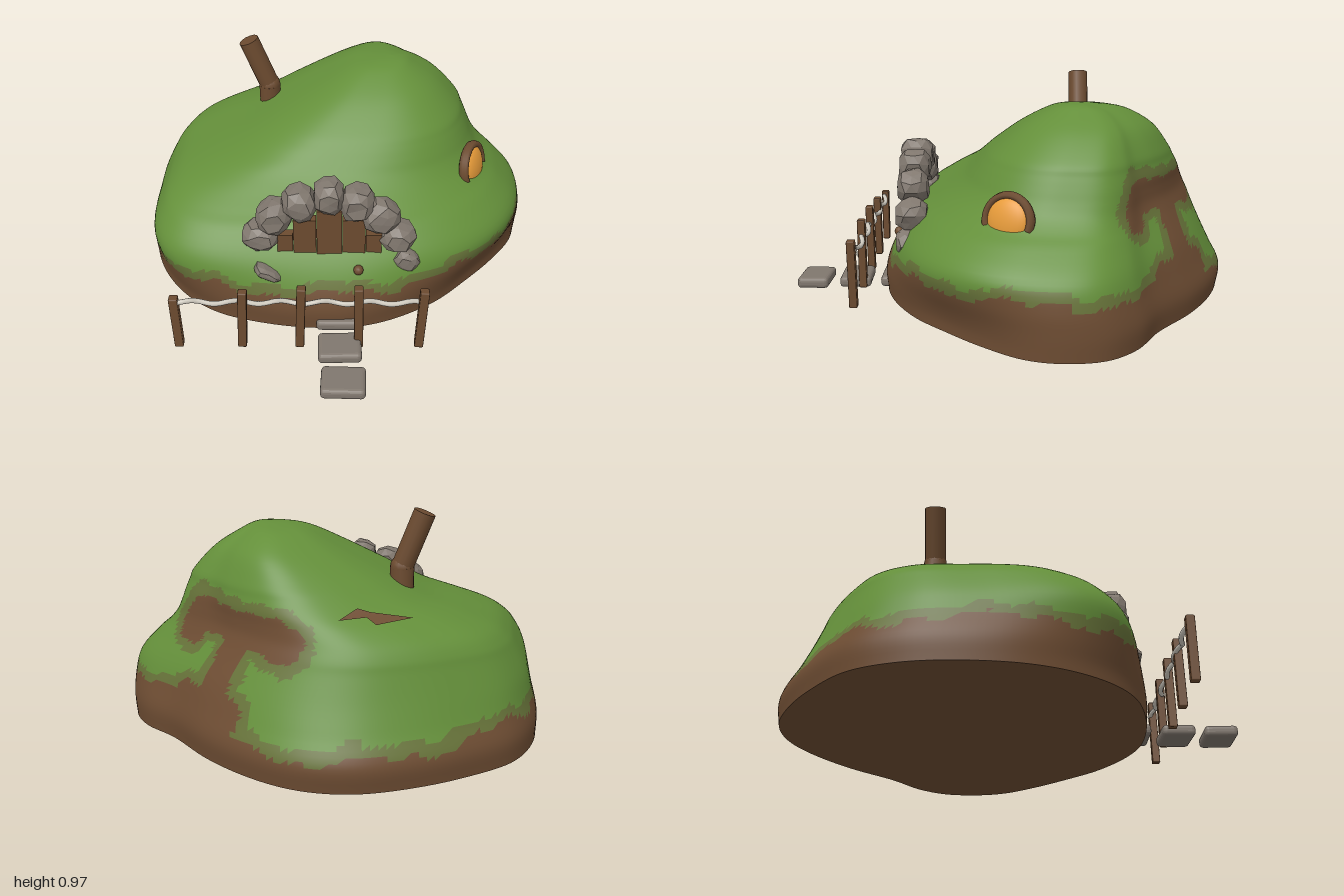
import * as THREE from 'three';
import { RoundedBoxGeometry } from 'three/addons/geometries/RoundedBoxGeometry.js';

const mat = (name, color) => Object.assign(new THREE.MeshStandardMaterial({ color }), { name });
const V = (x, y, z) => new THREE.Vector3(x, y, z);
const { lerp, smoothstep } = THREE.MathUtils;

// repeatable noise in -1..1 from a position
function noise(x, y, z) {
  const s = Math.sin(x * 127.1 + y * 311.7 + z * 74.7) * 43758.5453;
  return (s - Math.floor(s)) * 2 - 1;
}

// ground outline of the hill (x, z), clockwise from the back
const OUTLINE = [[-0.12, -1], [0.02, -0.985], [0.2, -0.915], [0.4, -0.79], [0.61, -0.61], [0.78, -0.5],
  [0.88, -0.37], [0.905, -0.2], [0.87, -0.05], [0.75, 0.12], [0.61, 0.27], [0.45, 0.42], [0.25, 0.535],
  [0.08, 0.585], [-0.1, 0.59], [-0.3, 0.565], [-0.52, 0.5], [-0.67, 0.4], [-0.8, 0.24], [-0.88, 0.05],
  [-0.91, -0.2], [-0.89, -0.4], [-0.81, -0.59], [-0.63, -0.765], [-0.45, -0.89], [-0.27, -0.975]];

// extents of the hill by height: y, xMin, xMax, zMin, zMax
const LEVELS = [[0, -0.91, 0.9, -0.99, 0.58], [0.1, -0.91, 0.905, -1, 0.585], [0.2, -0.885, 0.9, -0.95, 0.555],
  [0.3, -0.86, 0.87, -0.9, 0.5], [0.4, -0.81, 0.775, -0.855, 0.415], [0.45, -0.775, 0.715, -0.835, 0.345],
  [0.5, -0.715, 0.67, -0.81, 0.275], [0.55, -0.6, 0.642, -0.785, 0.215], [0.6, -0.46, 0.62, -0.76, 0.17],
  [0.65, -0.36, 0.597, -0.73, 0.128], [0.7, -0.27, 0.57, -0.7, 0.08], [0.8, -0.08, 0.47, -0.62, -0.04],
  [0.87, 0.06, 0.36, -0.5, -0.16], [0.893, 0.16, 0.31, -0.38, -0.23], [0.9, 0.25, 0.251, -0.3, -0.299]];

// bare earth running down the back right side
const TRACKS = [[V(0.47, 0.54, -0.49), V(0.06, 0.5, -0.79)], [V(0.28, 0.5, -0.67), V(0.42, 0.18, -0.76)],
  [V(0.47, 0.54, -0.49), V(0.52, 0.46, -0.49)], [V(0.3, 0.2, -0.83), V(0.54, 0.2, -0.65)]]
  .map(([a, b]) => new THREE.Line3(a, b));

// 0 grass, 1 mossy edge, 2 earth
function groundKind(p) {
  const a = Math.atan2(p.z + 0.2, p.x), c = Math.cos(a), s = Math.sin(a);
  let d = p.y - (0.15 + 0.02 * c + 0.03 * s + 0.055 * c * c + 0.015 * Math.sin(a * 9) + 0.01 * Math.sin(a * 23 + 1));
  for (const t of TRACKS) d = Math.min(d, t.closestPointToPoint(p, true, V(0, 0, 0)).distanceTo(p) - 0.078);
  d += 0.012 * Math.sin(p.x * 31 + p.y * 40) * Math.cos(p.z * 37) + 0.004 * noise(p.x, p.y, p.z);
  return d < 0 ? 2 : d < 0.045 ? 1 : 0;
}

function hillGeometry() {
  const segs = 168, rings = 70;
  const outline = new THREE.CatmullRomCurve3(OUTLINE.map(([x, z]) => V(x, 0, z)), true).getSpacedPoints(segs);
  const xs = new THREE.CatmullRomCurve3(LEVELS.map(l => V(l[0], l[1], l[2])), false, 'catmullrom');
  const zs = new THREE.CatmullRomCurve3(LEVELS.map(l => V(l[0], l[3], l[4])), false, 'catmullrom');
  const pts = [];
  for (let k = 0; k <= rings; k++) {
    const X = xs.getPoint(k / rings), Z = zs.getPoint(k / rings);
    for (let j = 0; j < segs; j++) {
      let u = outline[j].x / 0.907, v = (outline[j].z + 0.205) / 0.795;
      // the front swells fuller above the ground, most of all on its right
      const n = 2.4 + 2.6 * smoothstep(-u, 0, 0.6) * (1 - 0.7 * smoothstep(X.x, 0.4, 0.7));
      const full = (Math.abs(u) ** n + Math.abs(v) ** n) ** (-1 / n);
      const s = lerp(1, full, smoothstep(X.x, 0.03, 0.36) * smoothstep(v, -0.3, 0.3));
      u *= s; v *= s;
      pts.push(V(lerp(X.y, X.z, (u + 1) / 2), X.x, lerp(Z.y, Z.z, (v + 1) / 2)));
    }
  }
  const lists = [[], [], []];
  const face = (a, b, c) => {
    const mid = V(0, 0, 0).add(pts[a]).add(pts[b]).add(pts[c]).divideScalar(3);
    lists[groundKind(mid)].push(a, b, c);
  };
  for (let k = 0; k < rings; k++) for (let j = 0; j < segs; j++) {
    const a = k * segs + j, b = k * segs + (j + 1) % segs;
    face(a, a + segs, b);
    face(b, a + segs, b + segs);
  }
  const g = new THREE.BufferGeometry().setFromPoints(pts);
  g.setIndex(lists.flat());
  let start = 0;
  lists.forEach((l, i) => { g.addGroup(start, l.length, i); start += l.length; });
  g.computeVertexNormals();
  return { g, base: pts.slice(0, segs).map(p => new THREE.Vector2(p.x, p.z)) };
}

// chunky rough stone
function rockGeometry(w, h, d, seed) {
  const g = new THREE.IcosahedronGeometry(1, 1), p = g.attributes.position;
  for (let i = 0; i < p.count; i++) {
    const v = V(0, 0, 0).fromBufferAttribute(p, i);
    const q = v.toArray().map(c => Math.round(c * 50) / 50 + 0);
    const r = (q.reduce((t, c) => t + Math.abs(c) ** 5, 0)) ** -0.2 * (1 + 0.07 * noise(q[0] + seed, q[1], q[2]));
    p.setXYZ(i, q[0] * r * w / 2, q[1] * r * h / 2, q[2] * r * d / 2);
  }
  g.computeVertexNormals();
  return g;
}

export function createModel() {
  const model = new THREE.Group();
  model.name = 'hillHouse';
  const grass = mat('grass', 0x648f3a), moss = mat('mossyEdge', 0x667239), earth = mat('earth', 0x6e4d33);
  const wood = mat('wood', 0x6c4b30), stone = mat('stone', 0x80776e);
  const ropeMat = mat('rope', 0xcfcabf), glow = mat('windowGlow', 0xe89c3a);
  stone.flatShading = true;
  const add = (name, geo, material, x = 0, y = 0, z = 0, parent = model) => {
    const m = new THREE.Mesh(geo, material);
    m.name = name;
    m.position.set(x, y, z);
    parent.add(m);
    return m;
  };

  // hill and its underside
  const { g, base } = hillGeometry();
  const hill = add('hill', g, [grass, moss, earth]);
  add('hillUnderside', new THREE.ShapeGeometry(new THREE.Shape(base)).rotateX(Math.PI / 2), earth, 0, 0.001);

  // bare patch lying on the back left slope
  const patch = new THREE.ShapeGeometry(new THREE.Shape([[-0.41, 0.6], [-0.25, 0.66], [-0.2, 0.67],
    [-0.14, 0.745], [-0.24, 0.69], [-0.28, 0.705]].map(p => new THREE.Vector2(...p)))).rotateX(-Math.PI / 2);
  const pp = patch.attributes.position, down = V(0, -1, 0);
  for (let i = 0; i < pp.count; i++) {
    const hit = new THREE.Raycaster(V(pp.getX(i), 2, pp.getZ(i)), down).intersectObject(hill)[0];
    pp.setY(i, (hit ? hit.point.y : 0.5) + 0.014);
  }
  patch.computeVertexNormals();
  add('barePatch', patch, earth);

  // bent chimney
  const pipe = (name, a, b, r) => {
    const m = add(name, new THREE.CylinderGeometry(r, r, a.distanceTo(b), 14), wood);
    m.position.copy(a).lerp(b, 0.5);
    m.quaternion.setFromUnitVectors(V(0, 1, 0), b.clone().sub(a).normalize());
  };
  const elbow = V(-0.33, 0.725, -0.335);
  pipe('chimneyBase', V(-0.33, 0.5, -0.335), elbow, 0.051);
  pipe('chimneyTop', elbow, V(-0.42, 0.957, -0.335), 0.047);
  add('chimneyElbow', new THREE.SphereGeometry(0.051, 14, 10), wood, ...elbow.toArray());

  // stone arch: x, y, width, height, turn
  [[-0.33, 0.415, 0.15, 0.12, 0.1], [-0.27, 0.515, 0.14, 0.14, 0.6], [-0.16, 0.585, 0.13, 0.145, 0.3],
    [-0.035, 0.62, 0.125, 0.14, 0], [0.08, 0.585, 0.13, 0.145, -0.3], [0.185, 0.515, 0.14, 0.14, -0.7],
    [0.26, 0.41, 0.14, 0.125, -0.4]].forEach(([x, y, w, h, turn], i) => {
    add('archStone', rockGeometry(w, h, 0.14, i + 1), stone, x, y, 0.435).rotation.z = turn;
  });
  add('archFootStone', rockGeometry(0.11, 0.09, 0.08, 9), stone, 0.3, 0.295, 0.46).rotation.z = -0.6;
  add('slopeStone', rockGeometry(0.12, 0.05, 0.08, 12), stone, -0.3, 0.265, 0.51).rotation.z = -0.5;

  // door planks: centre x, width, top
  for (const [x, w, top] of [[-0.225, 0.07, 0.43], [-0.14, 0.1, 0.51], [-0.035, 0.11, 0.56], [0.07, 0.1, 0.51], [0.155, 0.07, 0.43]])
    add('doorPlank', new THREE.BoxGeometry(w - 0.003, top - 0.28, 0.04), wood, x, (top + 0.28) / 2, 0.453 - Math.abs(x + 0.035) * 0.04);
  add('doorKnob', new THREE.SphereGeometry(0.022, 12, 8), wood, 0.09, 0.28, 0.515);

  // arched window on the left side, with a bulging pane
  const win = new THREE.Group();
  win.name = 'window';
  win.position.set(0.625, 0.485, 0.01);
  win.rotation.set(-0.2, 1.07, 0, 'YXZ');
  model.add(win);
  add('windowPane', new THREE.SphereGeometry(0.094, 28, 18).scale(1, 1, 0.4), glow, 0, 0, 0, win);
  add('windowFrame', new THREE.TorusGeometry(0.1, 0.017, 8, 28, Math.PI * 1.2).rotateZ(-Math.PI * 0.1).scale(1, 1, 1.4), wood, 0, 0, 0, win);

  // fence posts: x, top
  const posts = [[-0.68, 0.28], [-0.4, 0.315], [-0.155, 0.335], [0.09, 0.335], [0.355, 0.32]];
  posts.forEach(([x, top], i) => {
    add('fencePost', new RoundedBoxGeometry(0.038, top - 0.01, 0.036, 1, 0.005), wood, x, top / 2 + 0.005, 0.69)
      .rotation.z = [0.01, -0.05, -0.04, 0.01, -0.04][i];
  });

  // rope waving from post to post
  const ropePts = [];
  for (let i = 0; i <= 32; i++) {
    const x = lerp(-0.68, 0.355, i / 32);
    ropePts.push(V(x, 0.25 + 0.01 * Math.sin(i * 1.1), 0.685 + 0.01 * Math.sin(i * 1.1 + 1)));
  }
  add('rope', new THREE.TubeGeometry(new THREE.CatmullRomCurve3(ropePts), 96, 0.011, 7), ropeMat);

  // stepping stones
  for (const [x, z, d, turn] of [[0.025, 0.922, 0.145, -0.03], [0.01, 0.73, 0.145, 0.03], [0, 0.555, 0.11, 0]])
    add('steppingStone', new RoundedBoxGeometry(0.185, 0.05, d, 2, 0.018), stone, x, 0.032, z).rotation.y = turn;

  return model;
}
